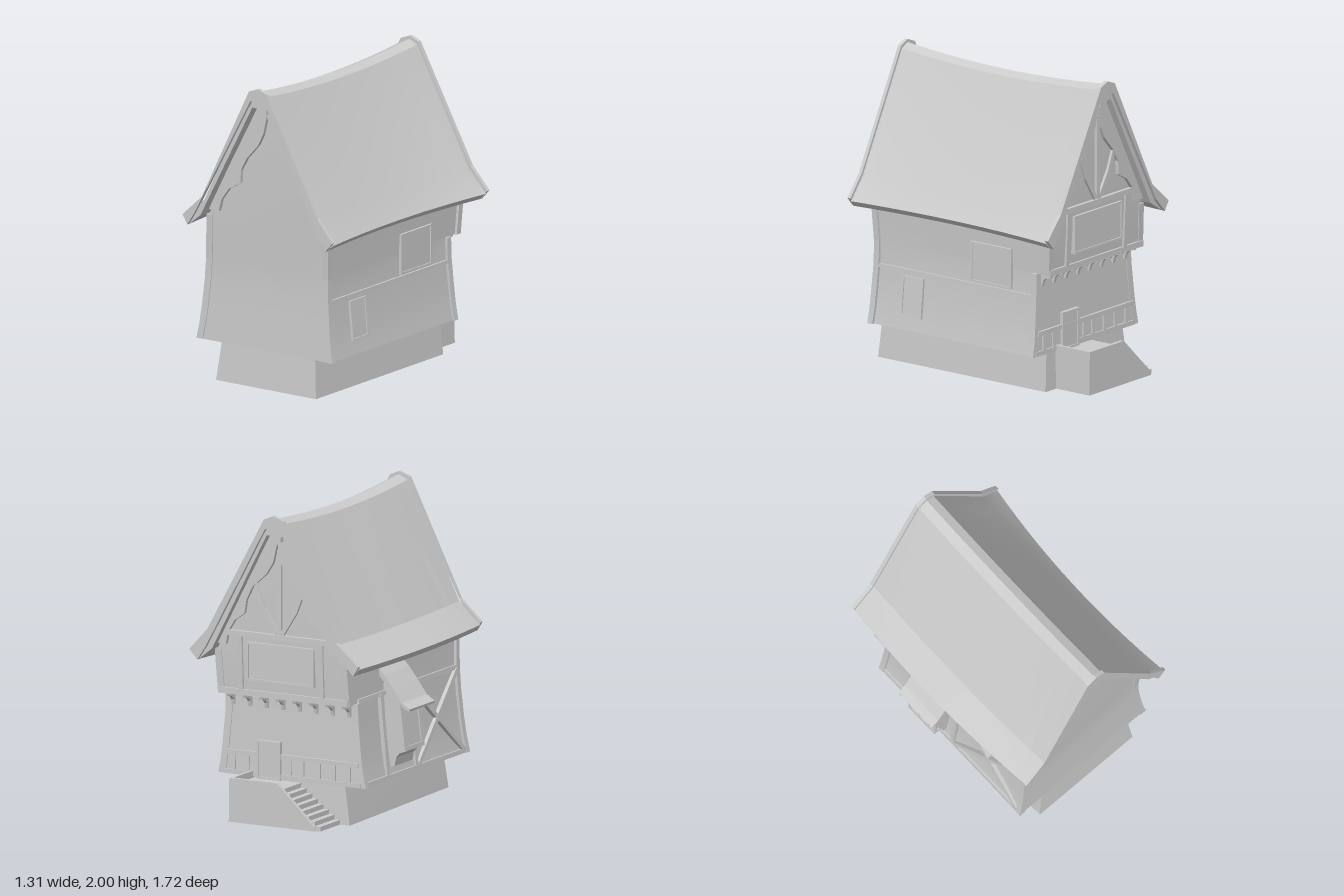
import * as THREE from 'three';
import { toCreasedNormals } from 'three/addons/utils/BufferGeometryUtils.js';

const mat = new THREE.MeshStandardMaterial({ color: 0xcccccc, side: THREE.DoubleSide });

// Left x, right x, back z and front z of the house walls at height y
const LEVELS = [
  [0.25, -0.505, 0.535, -0.58, 0.755], [0.35, -0.485, 0.518, -0.578, 0.75],
  [0.47, -0.468, 0.505, -0.575, 0.745], [0.65, -0.45, 0.49, -0.57, 0.738],
  [0.79, -0.44, 0.487, -0.568, 0.738], [0.79, -0.44, 0.487, -0.67, 0.738],
  [1.08, -0.425, 0.5, -0.69, 0.755], [1.86, -0.02, 0.1, -0.69, 0.755],
];

export function createModel() {
  const house = new THREE.Group();
  house.name = 'timberHouse';

  const add = (name, geo) => {
    const m = new THREE.Mesh(geo, mat);
    m.name = name;
    house.add(m);
    return m;
  };

  // Skin over rings of equal length, each counter-clockwise about the direction of travel
  const loft = (name, rings, caps = true) => {
    const n = rings[0].length, index = [];
    for (let i = 0; i < rings.length - 1; i++)
      for (let j = 0; j < n; j++) {
        const a = i * n + j, b = i * n + (j + 1) % n;
        index.push(a, b, b + n, a, b + n, a + n);
      }
    if (caps) {
      const t = (rings.length - 1) * n;
      for (let j = 1; j < n - 1; j++) index.push(0, j + 1, j, t, t + j, t + j + 1);
    }
    const g = new THREE.BufferGeometry();
    g.setAttribute('position', new THREE.Float32BufferAttribute(rings.flat(2), 3));
    g.setIndex(index);
    return add(name, toCreasedNormals(g, 0.35));
  };
  const rect = (y, xl, xr, zb, zf) => [[xl, y, zf], [xr, y, zf], [xr, y, zb], [xl, y, zb]];

  // Outline in x/y pushed from z0 to z1
  const slab = (name, pts, z0, z1, holes = []) => {
    const toShape = (p) => new THREE.Shape(p.map(([x, y]) => new THREE.Vector2(x, y)));
    const s = toShape(pts);
    s.holes = holes.map(toShape);
    const g = new THREE.ExtrudeGeometry(s, { depth: z1 - z0, bevelEnabled: false });
    return add(name, g.translate(0, 0, z0));
  };

  // Timber from a to b lying on a wall with outward normal n
  const beam = (name, a, b, n, w = 0.03, d = 0.03) => {
    const A = new THREE.Vector3(...a), B = new THREE.Vector3(...b);
    const Y = B.clone().sub(A), len = Y.length();
    Y.normalize();
    const X = Y.clone().cross(new THREE.Vector3(...n)).normalize();
    const g = new THREE.BoxGeometry(w, len, d);
    g.applyMatrix4(new THREE.Matrix4().makeBasis(X, Y, X.clone().cross(Y)));
    const mid = A.add(B).multiplyScalar(0.5);
    return add(name, g.translate(mid.x, mid.y, mid.z));
  };

  // Framed window facing +z, then placed on a wall
  const windowUnit = (name, w, h, pos, ry, tilt = 0) => {
    const box = (a, b) => [[-a, -b], [a, -b], [a, b], [-a, b]];
    const f = 0.014;
    const frame = slab(name + 'Frame', box(w / 2, h / 2), -0.03, 0.018, [box(w / 2 - f, h / 2 - f)]);
    const pane = add(name + 'Pane', new THREE.BoxGeometry(w - f, h - f, 0.04));
    pane.position.z = -0.01;
    const g = new THREE.Group();
    g.name = name;
    g.add(frame, pane);
    g.rotation.set(tilt, ry, 0, 'YXZ');
    g.position.set(...pos);
    house.add(g);
  };

  // Base and walls
  loft('plinth', [
    [[-0.36, 0, 0.77], [0.43, 0, 0.77], [0.43, 0, -0.59], [-0.41, 0, -0.59]],
    [[-0.33, 0.25, 0.75], [0.41, 0.25, 0.75], [0.41, 0.25, -0.58], [-0.37, 0.25, -0.58]],
  ], false);
  loft('walls', LEVELS.map((l) => rect(...l)));

  // Corner posts follow the flare of the walls
  for (const sx of [-1, 1])
    for (const sz of [-1, 1]) {
      const post = (part) => loft('cornerPost', part.map(([y, xl, xr, zb, zf]) => {
        const x = sx < 0 ? xl : xr, z = sz < 0 ? zb : zf;
        const xs = [x - sx * 0.03, x + sx * 0.018].sort((a, b) => a - b);
        const zs = [z - sz * 0.035, z + sz * 0.006].sort((a, b) => a - b);
        return rect(y, ...xs, ...zs);
      }));
      post(LEVELS.slice(0, 5));
      post(LEVELS.slice(5, 7));
    }

  // Roof: sagging ridge and gently bowed eaves
  const bow = (a, b, c, u) => b + (c - a) / 2 * u + ((a + c) / 2 - b) * u * u;
  const roofProfile = (u) => {
    const L = bow(-0.575, -0.6, -0.55, u), R = bow(0.645, 0.58, 0.62, u);
    return [
      [R - 0.05, 1.012], [R, 1.055], [0.5 + (R - 0.62) / 2, 1.2], [0.1, 1.952], [0.04, 1.98],
      [-0.025, 1.952], [-0.41 + (L + 0.575) / 2, 1.2], [L, 1.06], [L + 0.03, 1.018],
      [-0.43, 1.09], [-0.02, 1.865], [0.1, 1.865], [0.5, 1.09],
    ].map(([x, y]) => [x, y - 0.04 * (1 - u * u) * Math.max(0, y - 1.06) / 0.9]);
  };
  const SEG = 14, rings = [];
  for (let i = 0; i <= SEG; i++) {
    const u = i / SEG * 2 - 1;
    rings.push(roofProfile(u).map(([x, y]) => [x, y, 0.04 + u * 0.8]));
  }
  loft('roof', rings, false);

  // Verge trims and recessed boards at both ends
  const ogee = [
    [0.49, 1.12], [0.425, 1.12], [0.41, 1.2], [0.36, 1.28], [0.29, 1.33], [0.275, 1.42], [0.23, 1.51],
    [0.13, 1.6], [0.08, 1.68], [0.05, 1.81], [0.02, 1.68], [-0.02, 1.6], [-0.11, 1.5],
    [-0.155, 1.42], [-0.16, 1.33], [-0.25, 1.28], [-0.31, 1.2], [-0.33, 1.12], [-0.41, 1.12],
    [-0.02, 1.88], [0.1, 1.88],
  ];
  for (const s of [-1, 1]) {
    const end = roofProfile(s);
    slab('roofEndBoard', end, s < 0 ? -0.762 : 0.83, s < 0 ? -0.75 : 0.842);
    const trim = end.map(([x, y], i) => {
      if (i >= 1 && i <= 7) return [x + Math.sign(4 - i) * 0.008, y + 0.02];
      return i > 9 && i < 12 ? [x, y + 0.045] : [x + (i === 9 ? -0.03 : i === 12 ? 0.03 : 0), y + (i > 8 ? 0.02 : 0)];
    });
    slab('vergeTrim', trim, s < 0 ? -0.785 : 0.838, s < 0 ? -0.758 : 0.862);
    slab('gableBoard', ogee, s < 0 ? -0.715 : 0.75, s < 0 ? -0.685 : 0.78);
    const ridge = add('ridgeBeamEnd', new THREE.BoxGeometry(0.07, 0.05, 0.08));
    ridge.position.set(0.04, 1.85, s < 0 ? -0.71 : 0.785);
  }

  // Right side: floor band and two windows
  const right = [1, 0.05, 0];
  beam('floorBand', [0.491, 0.632, -0.54], [0.491, 0.632, 0.715], right, 0.026, 0.03);
  windowUnit('lowerWindow', 0.17, 0.26, [0.505, 0.47, 0.425], Math.PI / 2, -0.1);
  windowUnit('upperWindow', 0.33, 0.265, [0.491, 0.788, -0.205], Math.PI / 2);

  // Left side: rails, posts and a cross brace
  const left = [-1, 0.1, 0];
  beam('wallRail', [-0.44, 0.8, -0.55], [-0.44, 0.8, 0.72], left);
  beam('sillRail', [-0.502, 0.265, -0.56], [-0.502, 0.265, 0.74], left);
  beam('wallPost', [-0.495, 0.26, 0.1], [-0.442, 0.8, 0.1], left, 0.03, 0.04);
  beam('wallPost', [-0.495, 0.26, -0.27], [-0.442, 0.8, -0.27], left, 0.03, 0.04);
  beam('crossBrace', [-0.495, 0.27, 0.12], [-0.442, 0.79, 0.71], left, 0.03, 0.04);
  beam('crossBrace', [-0.495, 0.27, 0.71], [-0.442, 0.79, 0.12], left, 0.03, 0.04);

  // Left side: bay with a curved foot and a sloping canopy
  slab('bay', [[-0.43, 0.86], [-0.5, 0.86], [-0.548, 0.79], [-0.595, 0.43], [-0.555, 0.415],
    [-0.53, 0.385], [-0.52, 0.33], [-0.48, 0.32]], -0.205, 0.025);
  beam('bayFrame', [-0.58, 0.445, -0.215], [-0.58, 0.445, 0.035], left, 0.025, 0.045);
  for (const z of [-0.2, 0.02]) beam('bayFrame', [-0.592, 0.43, z], [-0.548, 0.78, z], left, 0.025, 0.02);
  slab('bayCanopy', [[-0.43, 0.965], [-0.47, 0.925], [-0.54, 0.835], [-0.6, 0.755], [-0.655, 0.718],
    [-0.652, 0.703], [-0.61, 0.72], [-0.54, 0.795], [-0.43, 0.92]], -0.25, 0.07);

  // Back, upper storey: beams, window and gable fan
  const back = [0, 0, -1];
  beam('jettyBeam', [-0.45, 0.81, -0.672], [0.5, 0.81, -0.672], back, 0.04, 0.03);
  beam('gableBeam', [-0.36, 1.195, -0.695], [0.44, 1.195, -0.695], back, 0.035, 0.04);
  windowUnit('wideWindow', 0.49, 0.25, [0.035, 1.02, -0.69], Math.PI);
  for (const x of [-0.26, 0.33]) beam('windowPost', [x, 0.82, -0.675], [x, 1.19, -0.692], back);
  beam('gablePost', [0.04, 1.2, -0.69], [0.04, 1.76, -0.69], back, 0.03, 0.04);
  for (const s of [-1, 1]) {
    beam('fanBrace', [0.04 + s * 0.02, 1.22, -0.69], [0.04 + s * 0.12, 1.38, -0.69], back, 0.028, 0.036);
    beam('fanBrace', [0.04 + s * 0.115, 1.37, -0.69], [0.04 + s * 0.18, 1.54, -0.69], back, 0.028, 0.036);
  }

  // Back: curved brackets under the overhang
  for (let i = 0; i < 8; i++) {
    const x = -0.4 + i * 0.121;
    slab('jettyBracket', [[0.56, 0.7], [0.582, 0.7], [0.59, 0.735], [0.61, 0.757], [0.655, 0.77],
      [0.662, 0.795], [0.56, 0.795]], x - 0.011, x + 0.011).geometry.rotateY(Math.PI / 2);
  }

  // Back, lower storey: rail, studs and door
  beam('lowerRail', [-0.47, 0.395, -0.578], [0.5, 0.395, -0.578], back, 0.03, 0.03);
  beam('lowerSill', [-0.49, 0.265, -0.58], [0.52, 0.265, -0.58], back, 0.03, 0.02);
  for (const x of [-0.4, -0.29, -0.18, -0.06, 0.03, 0.34, 0.44])
    beam('lowerStud', [x, 0.26, -0.58], [x, 0.39, -0.577], back, 0.024, 0.022);
  windowUnit('door', 0.17, 0.25, [0.18, 0.365, -0.582], Math.PI);

  // Back: landing, stairs and side walls
  const steps = [[0.305, 0.2], [0.305, 0.24], [-0.05, 0.24]];
  for (let i = 1; i <= 8; i++) {
    const x = -0.05 - 0.041 * (i - 1), y = 0.24 - 0.03 * i;
    steps.push([x, y]);
    if (i < 8) steps.push([x - 0.041, y]);
  }
  steps.push([-0.3, 0], [-0.03, 0.2]);
  slab('stairs', steps, -0.84, -0.57);
  slab('stairParapet', [[0.322, 0], [0.318, 0.285], [-0.03, 0.285], [-0.3, 0.03], [-0.31, 0]], -0.86, -0.835);
  slab('landingSideWall', [[0.297, 0], [0.322, 0], [0.318, 0.285], [0.297, 0.285]], -0.84, -0.57);

  return house;
}
